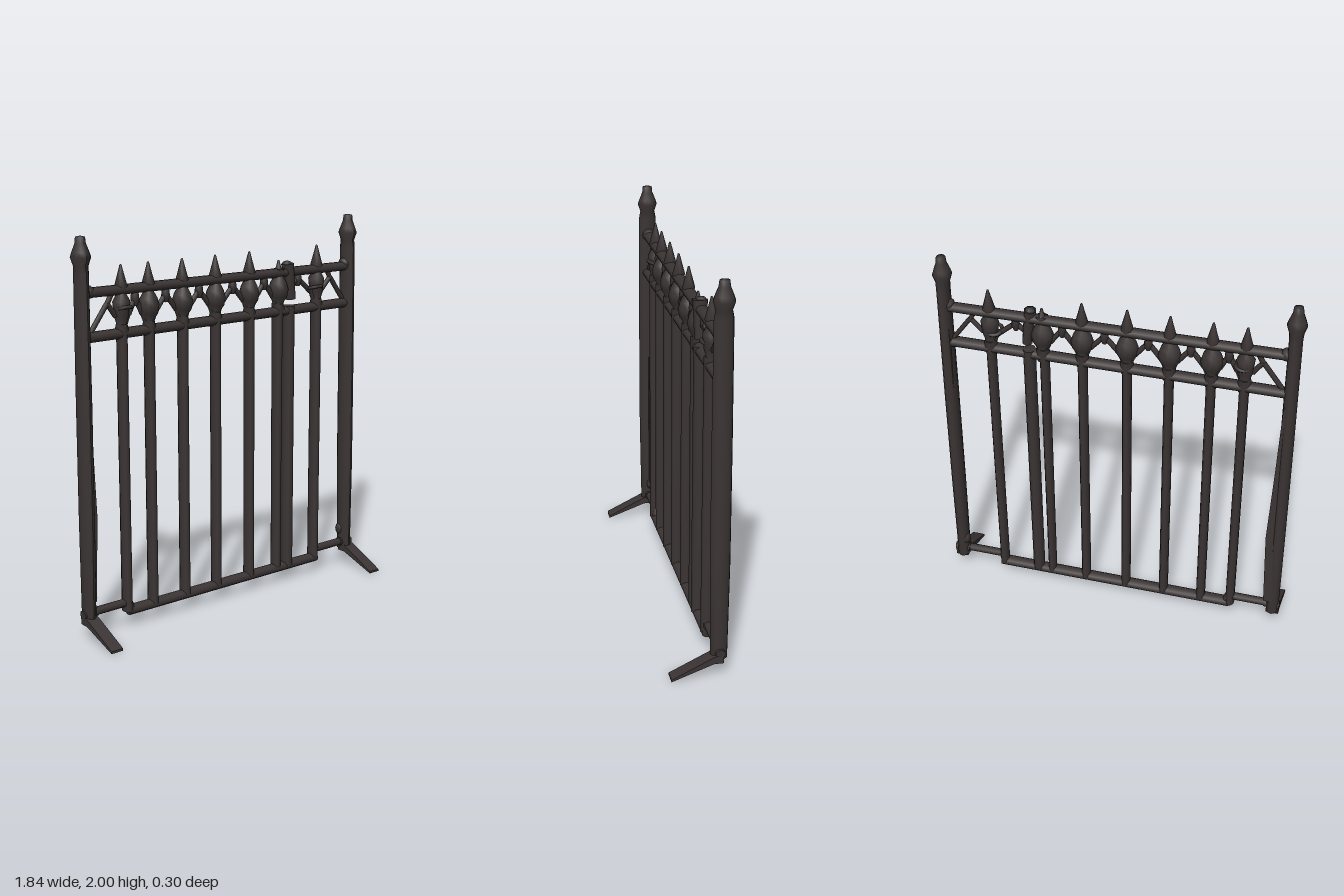
import * as THREE from 'three';

const Z = -0.093; // plane of the fence panel
const V = (x, y, z = Z) => new THREE.Vector3(x, y, z);

export function createModel() {
  const group = new THREE.Group();
  group.name = 'ironFence';
  const iron = new THREE.MeshStandardMaterial({ color: 0x3b3434 });
  iron.name = 'dark iron';

  const add = (name, geo) => {
    const mesh = new THREE.Mesh(geo, iron);
    mesh.name = name;
    group.add(mesh);
    return mesh;
  };
  // straight round rod between two points, optionally deeper along z
  const rod = (name, a, b, r0, r1 = r0, sides = 10, depth = 1) => {
    const d = b.clone().sub(a);
    const m = add(name, new THREE.CylinderGeometry(r1, r0, d.length(), sides));
    m.position.copy(a).add(b).multiplyScalar(0.5);
    m.quaternion.setFromUnitVectors(V(0, 1, 0), d.normalize());
    m.scale.z = depth;
    return m;
  };
  // turned part from [radius, height] pairs
  const turned = (name, pts, x, sides = 10, depth = 1) => {
    const m = add(name, new THREE.LatheGeometry(pts.map(p => new THREE.Vector2(...p)), sides));
    m.position.set(x, 0, Z);
    m.scale.z = depth;
    return m;
  };
  // flat outline with thickness along z
  const plate = (name, pts, z0, z1) => {
    const s = new THREE.Shape(pts.map(p => new THREE.Vector2(...p)));
    const g = new THREE.ExtrudeGeometry(s, { depth: z1 - z0, bevelEnabled: false });
    return add(name, g.translate(0, 0, z0));
  };

  // end posts with pointed caps, lower collars and splayed feet
  for (const [side, bottom, top] of [['right', -0.882, -0.876], ['left', 0.876, 0.862]]) {
    const s = Math.sign(bottom);
    const post = turned(side + 'Post', [[0, 0.09], [0.033, 0.09], [0.035, 0.6], [0.035, 1.2], [0.033, 1.82],
      [0.036, 1.86], [0.049, 1.9], [0.041, 1.925], [0.026, 1.965], [0.023, 1.995], [0, 2]], 0, 12, 1.42);
    const p = post.geometry.attributes.position;
    for (let i = 0; i < p.count; i++) {
      const y = p.getY(i);
      p.setX(i, p.getX(i) + bottom + (top - bottom) * Math.min(y / 1.82, 1));
      if (y > 1.86) p.setZ(i, p.getZ(i) * 0.76);
      if (y < 0.3) p.setZ(i, p.getZ(i) * 0.9);
    }
    post.geometry.computeVertexNormals();

    rod(side + 'Collar', V(s * 0.918, 0.125), V(s * 0.835, 0.13), 0.025);
    const lug = add(side + 'Lug', new THREE.SphereGeometry(0.028, 8, 6));
    lug.position.set(s * 0.857, 0.205, Z - 0.01);
    lug.scale.y = 1.4;
    const clamp = add(side + 'RailClamp', new THREE.SphereGeometry(0.034, 8, 6));
    clamp.position.set(s * 0.842, 1.732, Z);

    const foot = plate(side + 'Foot', [[-0.15, 0], [0.06, 0.075], [0.11, 0.075], [0.11, 0.125],
      [0.055, 0.11], [-0.15, 0.012]], -0.034, 0.034);
    foot.rotation.y = Math.PI / 2;
    foot.position.x = s * 0.884;
  }

  // thin swellings along the posts
  plate('rightPostFin', [[-0.88, 0.17], [-0.835, 0.18], [-0.82, 0.62], [-0.838, 1.05], [-0.852, 1.45],
    [-0.88, 1.45]], -0.136, -0.09);
  plate('leftPostFin', [[0.87, 1.2], [0.87, 1.66], [0.84, 1.62], [0.835, 1.5], [0.84, 1.25]], -0.125, -0.085);

  // horizontal rails; the bottom one steps up near both posts
  rod('topRail', V(-0.86, 1.728), V(0.85, 1.718), 0.025, 0.025, 10, 1.25);
  rod('middleRail', V(-0.86, 1.514), V(0.85, 1.516), 0.026, 0.026, 10, 1.25);
  rod('bottomRail', V(-0.645, 0.085), V(0.648, 0.083), 0.026, 0.026, 10, 1.2);
  for (const s of [-1, 1]) {
    rod('bottomRailEnd', V(s * 0.9, 0.13), V(s * 0.635, 0.13), 0.021);
    rod('bottomRailStep', V(s * 0.648, 0.14), V(s * 0.625, 0.075), 0.024);
  }

  // upright bars with spearheads and collars in the frieze
  const bars = [-0.65, -0.487, -0.279, -0.068, 0.158, 0.36, 0.632];
  bars.forEach((x, i) => {
    const odd = i === 5;
    const foot = odd ? 0.353 : x;
    rod('bar', V(foot, 0.085), V(foot, 1.56), odd ? 0.022 : 0.024, 0.024, 10, 1.45);
    const tip = odd ? 1.79 : 1.85;
    turned('spearhead', [[0.022, 1.7], [0.033, 1.742], [0.017, tip - 0.05], [0.005, tip - 0.004], [0, tip]], x, 8);
    const full = i > 0 && i < 6;
    turned('friezeBud', [[0.03, 1.485], [0.037, 1.53], [0.028, 1.565],
      [full ? 0.05 : 0.038, 1.595], [full ? 0.057 : 0.042, 1.635], [0.046, 1.67], [0.018, 1.72]], x, 10, 0.92);
  });

  // thick spare bar with a blunt, leaning head
  rod('thickBar', V(0.432, 0.085), V(0.432, 1.54), 0.031, 0.031, 10, 1.2);
  rod('bluntHead', V(0.442, 1.575, Z + 0.004), V(0.42, 1.765, Z + 0.004), 0.026, 0.031, 8, 1.2);
  turned('bluntTip', [[0.03, 1.75], [0.022, 1.775], [0, 1.782]], 0.42, 8);

  // zigzag tracery with a knob between each pair of bars
  for (let i = 0; i < bars.length - 1; i++) {
    const a = bars[i], b = bars[i + 1], m = (a + b) / 2;
    turned('knob', [[0.012, 1.64], [0.022, 1.67], [0.02, 1.695], [0.012, 1.72]], m, 8);
    for (const [x, e] of [[a, 1], [b, -1]]) {
      rod('traceryUpper', V(m, 1.68), V(x + e * 0.04, 1.6), 0.013, 0.014, 6);
      rod('traceryLower', V(x + e * 0.045, 1.62), V(x + e * 0.015, 1.545), 0.013, 0.013, 6);
    }
  }
  for (const [s, bar] of [[-1, 0.65], [1, 0.632]]) {
    rod('endBrace', V(s * 0.835, 1.53), V(s * 0.735, 1.665), 0.013, 0.013, 6);
    rod('endBraceInner', V(s * 0.735, 1.67), V(s * (bar + 0.035), 1.6), 0.013, 0.013, 6);
    rod('endBraceTop', V(s * 0.735, 1.66), V(s * 0.7, 1.725), 0.013, 0.013, 6);
  }

  // rings around the outer buds
  for (const [x, y] of [[-0.64, 1.635], [0.612, 1.62]]) {
    const ring = add('budRing', new THREE.TorusGeometry(0.04, 0.01, 6, 14));
    ring.position.set(x, y, Z + 0.004);
    ring.rotation.x = Math.PI / 2.4;
  }
  return group;
}
